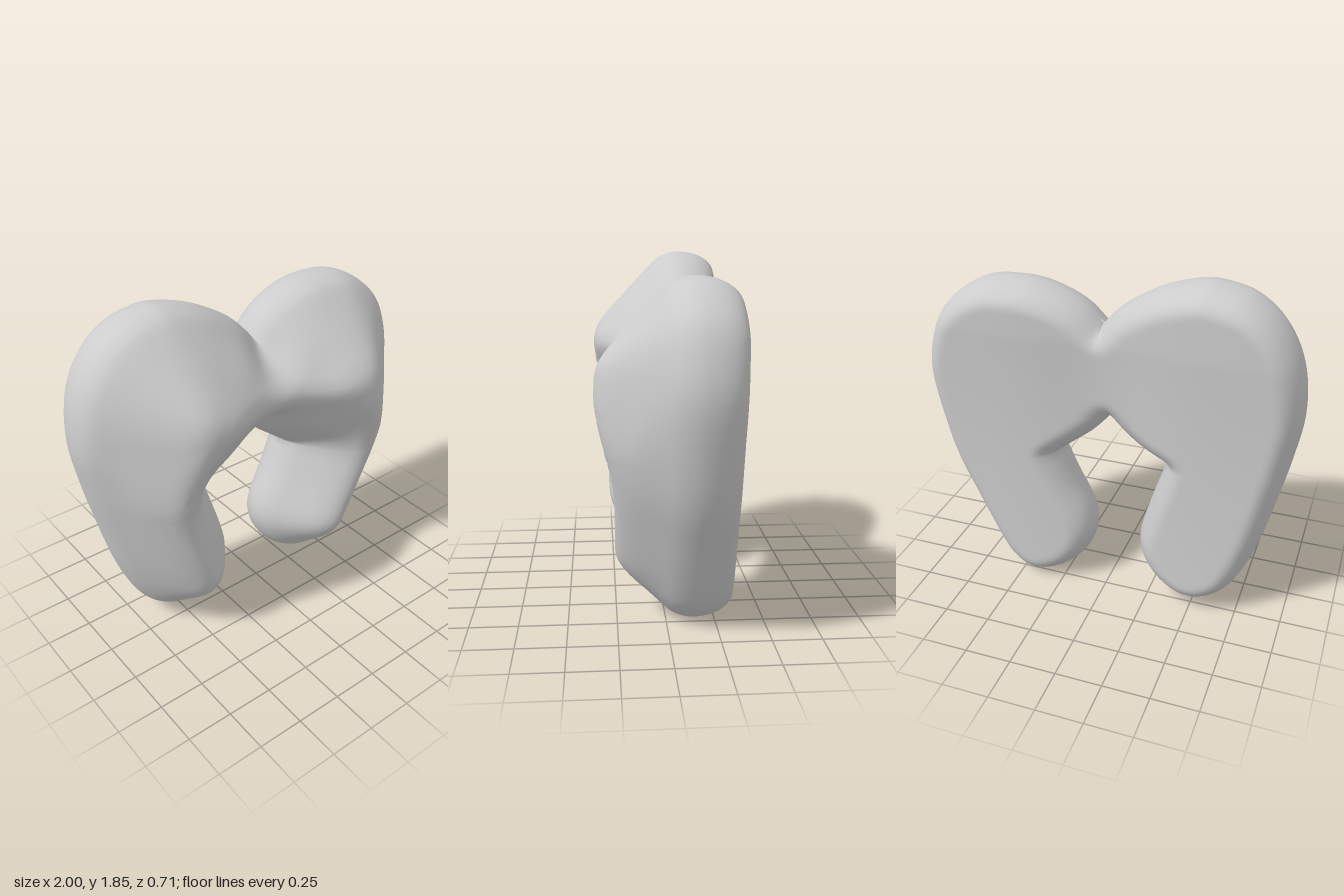
import * as THREE from 'three';
import { mergeVertices } from 'three/addons/utils/BufferGeometryUtils.js';

const { smoothstep } = THREE.MathUtils;

// Points where the two lobes meet
const NOTCH_TOP = [0.035, 1.56];
const NOTCH_LOW = [-0.015, 1.065];

// Each half: the outline over the lobe and around the leg, then the underside back to the notch
const LEFT = {
  crotch: [0.285, 0.795],
  outer: [[0.12, 1.64], [0.23, 1.7], [0.38, 1.745], [0.52, 1.752], [0.66, 1.735], [0.8, 1.66], [0.91, 1.55],
    [0.98, 1.37], [0.998, 1.21], [0.955, 0.94], [0.89, 0.7], [0.8, 0.5], [0.64, 0.18], [0.59, 0.105], [0.49, 0.022],
    [0.39, 0.002], [0.29, 0.03], [0.2, 0.09], [0.13, 0.18], [0.092, 0.3], [0.11, 0.42], [0.2, 0.6]],
  under: [[0.17, 0.885], [0.09, 0.95]],
};
const RIGHT = {
  crotch: [-0.325, 0.855],
  outer: [[-0.06, 1.66], [-0.17, 1.735], [-0.3, 1.8], [-0.48, 1.847], [-0.57, 1.842], [-0.7, 1.81], [-0.82, 1.73],
    [-0.92, 1.6], [-0.98, 1.44], [-1, 1.22], [-0.965, 0.98], [-0.91, 0.73], [-0.83, 0.42], [-0.755, 0.23],
    [-0.69, 0.13], [-0.59, 0.06], [-0.5, 0.04], [-0.42, 0.048], [-0.35, 0.08], [-0.27, 0.14], [-0.197, 0.25],
    [-0.18, 0.36], [-0.197, 0.45], [-0.26, 0.66]],
  under: [[-0.19, 0.92], [-0.1, 0.985]],
};

function smoothLine(points, count) {
  const curve = new THREE.CatmullRomCurve3(points.map(([x, y]) => new THREE.Vector3(x, y, 0)), false, 'centripetal');
  return curve.getPoints(count).map((p) => [p.x, p.y]);
}

// Closed outline of one half; its last segment is the seam between the halves
function traceHalf({ outer, under, crotch }) {
  const loop = smoothLine([NOTCH_TOP, ...outer, crotch], 110);
  return loop.concat(smoothLine([crotch, ...under, NOTCH_LOW], 14).slice(1));
}

const segmentsOf = (line) => line.slice(1).map((b, i) => [line[i], b]);

function edgeDistance(x, y, segments) {
  let best = Infinity;
  for (const [[ax, ay], [bx, by]] of segments) {
    const dx = bx - ax, dy = by - ay;
    const len = dx * dx + dy * dy || 1;
    const t = Math.min(1, Math.max(0, ((x - ax) * dx + (y - ay) * dy) / len));
    best = Math.min(best, (x - ax - t * dx) ** 2 + (y - ay - t * dy) ** 2);
  }
  return best < 1e-8 ? 0 : Math.sqrt(best);
}

// Quarter-round rising from 0 to 1 over a given radius
const round = (d, radius) => Math.sqrt(1 - (1 - Math.min(1, d / radius)) ** 2);

const RIM = -0.14;
const frontRise = (d) => RIM + 0.09 * round(d, 0.05) + Math.min(0.4, 0.97 * d);

// Front swells with distance from the outline; ridges are softened by averaging nearby
function frontZ(x, y, d, segments) {
  const r = Math.min(0.075, d * 0.5);
  let sum = 2 * frontRise(d);
  for (let k = 0; k < 8; k++) {
    const a = (k * Math.PI) / 4;
    sum += r > 0 ? frontRise(edgeDistance(x + r * Math.cos(a), y + r * Math.sin(a), segments)) : frontRise(d);
  }
  // Fuller legs and a fuller bridge between the lobes
  const leg = 0.062 * smoothstep(y, 0, 0.35) * (1 - smoothstep(y, 0.9, 1.3)) * smoothstep(d, 0, 0.2);
  const bridge = 0.08 * Math.exp(-((x / 0.22) ** 2)) * smoothstep(d, 0.03, 0.22);
  return sum / 10 + Math.hypot(leg, bridge);
}

// Back is nearly flat, with a rounded rim and a shallow valley at the seam
function backZ(x, y, d) {
  const flat = 0.19 + 0.02 * Math.min(1, ((y - 0.8) / 0.7) ** 2) - 0.05 * Math.exp(-((x / 0.32) ** 2));
  return RIM - flat * round(d, 0.12);
}

// Row heights, closer together toward the rounded bottom and top
function rowHeights(half, outline) {
  const ys = outline.map((p) => p[1]);
  const low = Math.min(...ys), high = Math.max(...ys);
  const rows = [];
  const span = (a, b, n, ease) => {
    for (let i = 0; i < n; i++) rows.push(a + (b - a) * ease(i / n));
  };
  span(low, half.crotch[1], 30, (u) => 1 - Math.cos((u * Math.PI) / 2));
  span(half.crotch[1], NOTCH_LOW[1], 18, (u) => u);
  span(NOTCH_LOW[1], NOTCH_TOP[1], 20, (u) => u);
  span(NOTCH_TOP[1], high, 16, (u) => Math.sin((u * Math.PI) / 2));
  rows.push(high);
  return rows;
}

// Left and right ends of the outline at one height
function sliceEnds(y, outline) {
  let min = Infinity, max = -Infinity;
  for (const [a, b] of segmentsOf([...outline, outline[0]])) {
    if ((y - a[1]) * (y - b[1]) > 0) continue;
    const t = a[1] === b[1] ? 0 : (y - a[1]) / (b[1] - a[1]);
    const x = a[0] + (b[0] - a[0]) * t;
    min = Math.min(min, x);
    max = Math.max(max, x);
  }
  return [min, max];
}

function buildBody() {
  const halves = [LEFT, RIGHT];
  const outlines = halves.map(traceHalf);
  const segments = outlines.flatMap(segmentsOf);
  const positions = [], index = [];
  const columns = 48;

  halves.forEach((half, h) => {
    const rows = rowHeights(half, outlines[h]);
    const start = positions.length / 3;
    for (const y of rows) {
      const [x0, x1] = sliceEnds(y, outlines[h]);
      for (let j = 0; j <= columns; j++) {
        const x = x0 + ((x1 - x0) * (1 - Math.cos((Math.PI * j) / columns))) / 2;
        const d = edgeDistance(x, y, segments);
        positions.push(x, y, frontZ(x, y, d, segments), x, y, backZ(x, y, d));
      }
    }
    // Even vertices are the front, odd ones the back
    const at = (i, j, side) => start + 2 * (i * (columns + 1) + j) + side;
    for (let i = 0; i < rows.length - 1; i++) {
      for (let j = 0; j < columns; j++) {
        for (const s of [0, 1]) {
          const a = at(i, j, s), b = at(i, j + 1, s), c = at(i + 1, j + 1, s), e = at(i + 1, j, s);
          index.push(...(s ? [a, c, b, a, e, c] : [a, b, c, a, c, e]));
        }
      }
    }
  });

  const geometry = new THREE.BufferGeometry();
  geometry.setAttribute('position', new THREE.Float32BufferAttribute(positions, 3));
  geometry.setIndex(index);
  // Weld the rim and the seam so the shading runs smoothly across
  const welded = mergeVertices(geometry, 1e-4);
  welded.computeVertexNormals();
  return welded;
}

export function createModel() {
  const group = new THREE.Group();
  group.name = 'twinLobes';
  const grey = new THREE.MeshStandardMaterial({ color: 0xcccccc });
  grey.name = 'plain grey';
  const body = new THREE.Mesh(buildBody(), grey);
  body.name = 'lobedBody';
  group.add(body);
  return group;
}
